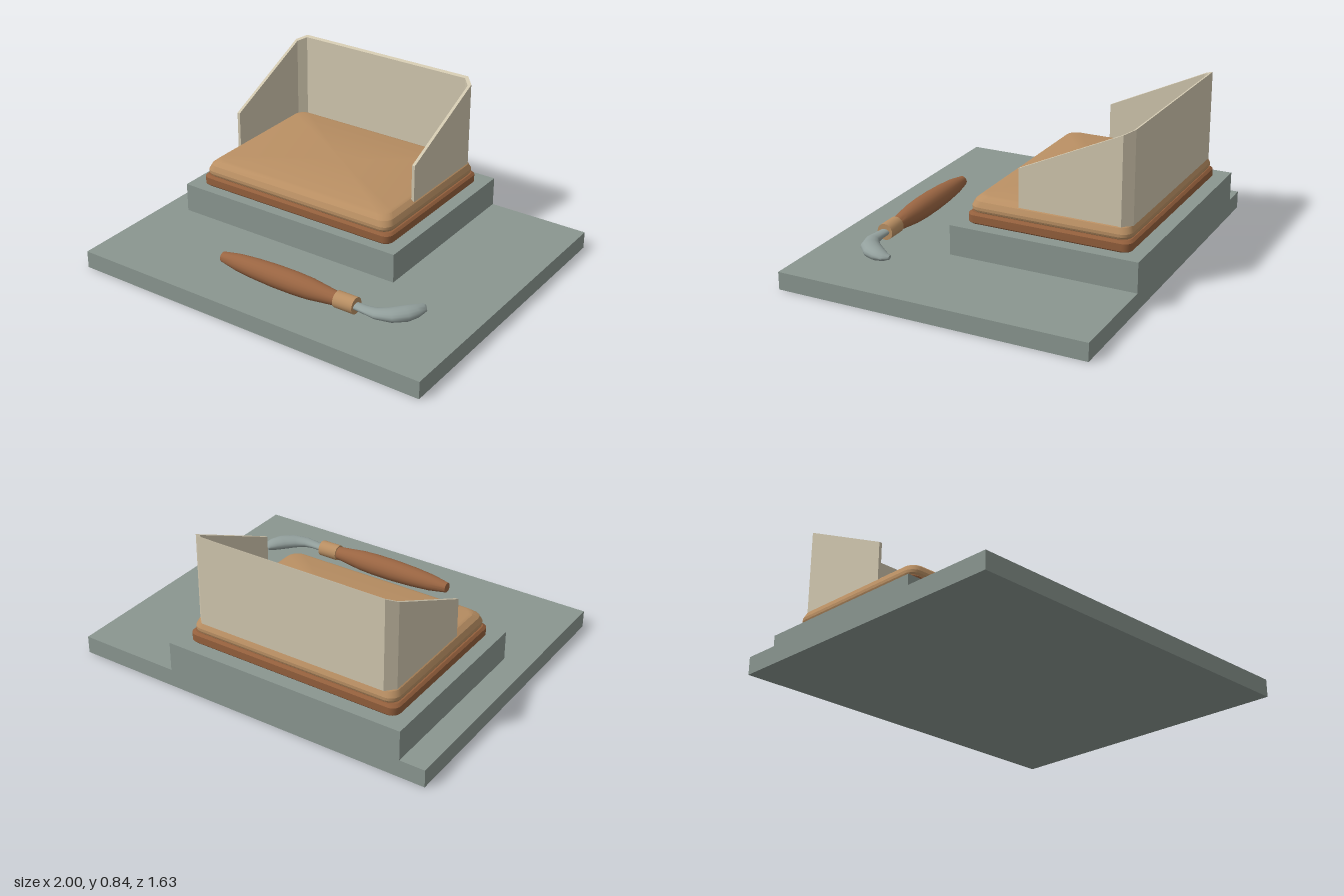
import * as THREE from 'three';
import { toCreasedNormals } from 'three/addons/utils/BufferGeometryUtils.js';

const mat = (name, color, side = THREE.FrontSide) => {
  const m = new THREE.MeshStandardMaterial({ color, side });
  m.name = name;
  return m;
};

// Skin a stack of equal-length rings (arrays of Vector3) and cap both ends
function loft(rings, crease) {
  const n = rings[0].length, pos = [], idx = [];
  const centre = (r) => r.reduce((s, p) => s.add(p), new THREE.Vector3()).divideScalar(n);
  rings.flat().forEach((p) => pos.push(p.x, p.y, p.z));
  const last = rings.length - 1, c0 = rings.length * n;
  pos.push(...centre(rings[0]).toArray(), ...centre(rings[last]).toArray());
  for (let j = 0; j < n; j++) {
    const k = (j + 1) % n;
    for (let i = 0; i < last; i++) {
      const a = i * n + j, b = i * n + k, c = a + n, d = b + n;
      idx.push(a, c, b, b, c, d);
    }
    idx.push(c0, j, k, c0 + 1, last * n + k, last * n + j);
  }
  const g = new THREE.BufferGeometry();
  g.setAttribute('position', new THREE.Float32BufferAttribute(pos, 3));
  g.setIndex(idx);
  return toCreasedNormals(g, crease);
}

// Rounded rectangle at height y
function roundedRing(cx, cz, hx, hz, r, y, steps = 5) {
  const out = [];
  [[1, 1], [-1, 1], [-1, -1], [1, -1]].forEach(([sx, sz], q) => {
    for (let i = 0; i <= steps; i++) {
      const a = (q + i / steps) * Math.PI / 2;
      out.push(new THREE.Vector3(
        cx + sx * (hx - r) + r * Math.cos(a), y, cz + sz * (hz - r) + r * Math.sin(a)));
    }
  });
  return out;
}

// Slab whose edge profile is a list of [height, inset]
const slab = (hx, hz, r, profile) => loft(profile.map(([y, inset]) =>
  roundedRing(-0.207, -0.31, hx - inset, hz - inset, r, y)), 0.35);

export function createModel() {
  const group = new THREE.Group();
  const stone = mat('grey stone', 0x8a9690);
  const darkWood = mat('dark wood', 0x935f3c);
  const lightWood = mat('light wood', 0xb98f63);
  const handleWood = mat('handle wood', 0x9a6542);
  const metal = mat('grey metal', 0x93a09d);
  const cream = mat('cream panel', 0xd0c6ae, THREE.DoubleSide);

  const add = (name, geometry, material) => {
    const m = new THREE.Mesh(geometry, material);
    m.name = name;
    group.add(m);
    return m;
  };

  // Ground slab and raised platform
  const box = (name, x0, x1, y0, y1, z0, z1) =>
    add(name, new THREE.BoxGeometry(x1 - x0, y1 - y0, z1 - z0), stone)
      .position.set((x0 + x1) / 2, (y0 + y1) / 2, (z0 + z1) / 2);
  box('baseSlab', -1, 1, 0, 0.093, -0.817, 0.817);
  box('platform', -0.865, 0.45, 0.093, 0.25, -0.817, 0.18);

  // Two-tier wooden board
  add('boardPlinth', slab(0.592, 0.436, 0.045,
    [[0.25, 0.006], [0.257, 0], [0.295, 0], [0.306, 0.012]]), darkWood);
  add('boardTop', slab(0.579, 0.426, 0.055,
    [[0.3, 0.015], [0.31, 0.004], [0.32, 0], [0.335, 0], [0.363, 0.012], [0.383, 0.036], [0.388, 0.052]]), lightWood);

  // Three-sided screen: U-shaped plan, top sloping down toward the front
  const plan = (t) => {
    const c = 0.045 - t * 0.4, x = 0.562 - t, z = -0.732 + t;
    return [[-x, -0.15], [-x, z + c], [-x + c, z], [x - c, z], [x, z + c], [x, -0.15]];
  };
  const outline = [...plan(0), ...plan(0.016).reverse()]
    .map(([x, z]) => new THREE.Vector2(x - 0.207, -z));
  const screen = new THREE.ExtrudeGeometry(new THREE.Shape(outline), { depth: 1, bevelEnabled: false });
  screen.rotateX(-Math.PI / 2);
  const p = screen.attributes.position;
  for (let i = 0; i < p.count; i++) {
    const top = 0.57 + (-0.15 - p.getZ(i)) * 0.465;
    p.setY(i, p.getY(i) > 0.5 ? top : 0.365);
  }
  screen.computeVertexNormals();
  add('screen', screen, cream);

  // Tool handle and collar, turned about the x axis
  const turned = (name, profile, material) => {
    const g = new THREE.LatheGeometry(profile.map(([x, r]) => new THREE.Vector2(r, x)), 20);
    g.rotateZ(-Math.PI / 2);
    add(name, toCreasedNormals(g, 0.6), material).position.set(0, 0.154, 0.54);
  };
  turned('toolHandle', [[-0.328, 0], [-0.328, 0.027], [-0.23, 0.044], [-0.12, 0.053], [0, 0.058],
    [0.12, 0.058], [0.21, 0.054], [0.3, 0.043], [0.37, 0.035], [0.37, 0]], handleWood);
  turned('toolCollar', [[0.365, 0], [0.365, 0.043], [0.475, 0.043], [0.475, 0]], lightWood);

  // Curved blade: ellipses [x, z, half width, half height] along a bending path
  const stations = [[0.46, 0.54, 0.026, 0.016], [0.53, 0.543, 0.029, 0.018], [0.585, 0.543, 0.036, 0.023],
    [0.65, 0.515, 0.049, 0.03], [0.7, 0.465, 0.052, 0.033], [0.725, 0.42, 0.044, 0.029],
    [0.738, 0.378, 0.032, 0.018], [0.73, 0.354, 0.016, 0.01]];
  const tangents = [0, 0, -0.22, -0.72, -0.95, -1.15, -1.45, -1.75];
  add('toolBlade', loft(stations.map(([x, z, w, h], i) => {
    const ux = -Math.sin(tangents[i]), uz = Math.cos(tangents[i]);
    return Array.from({ length: 16 }, (_, j) => {
      const a = j / 16 * Math.PI * 2, u = w * Math.cos(a);
      return new THREE.Vector3(x + ux * u, 0.154 + h * Math.sin(a), z + uz * u);
    });
  }), 0.9), metal);

  return group;
}
